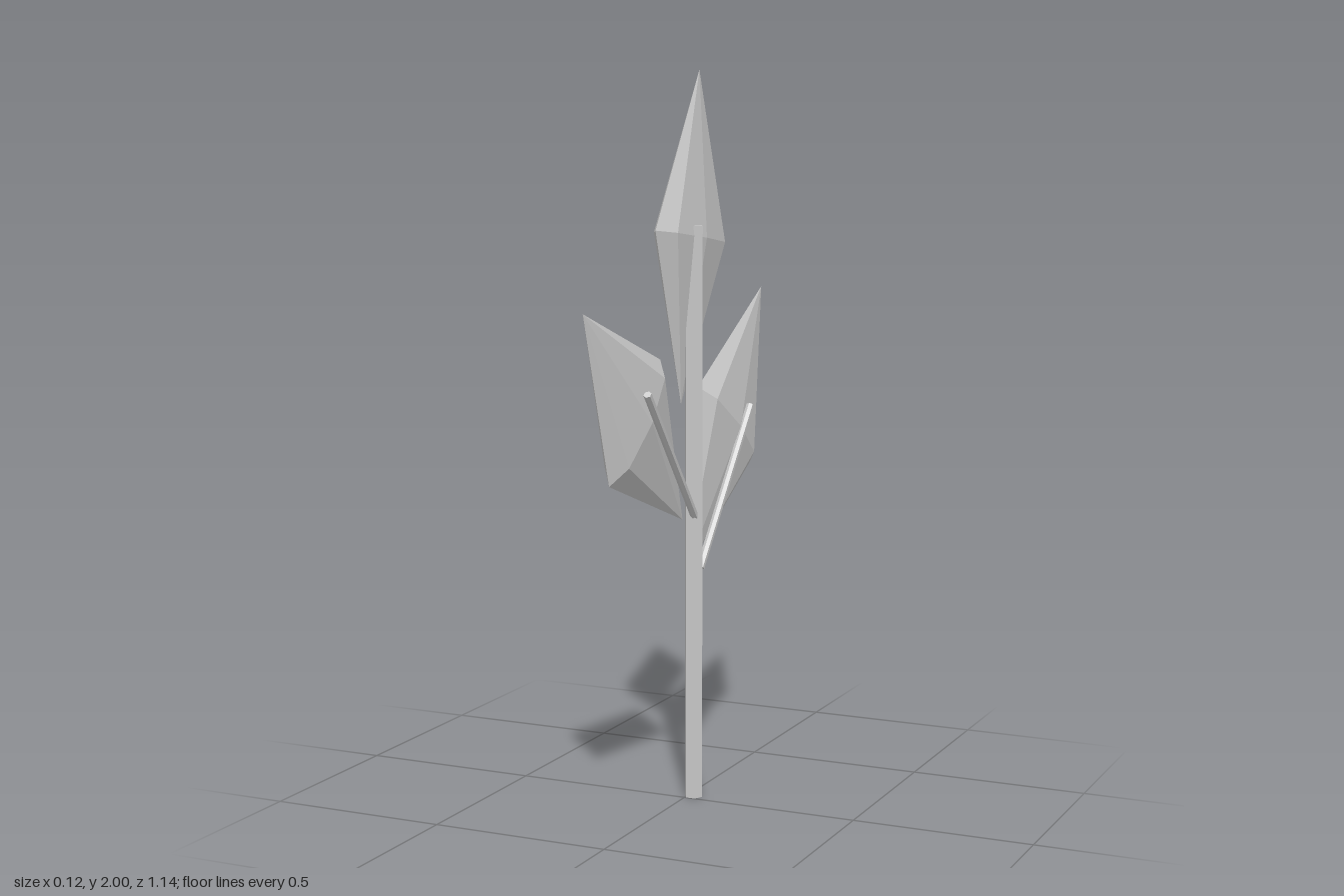
import * as THREE from 'three';

const material = new THREE.MeshStandardMaterial({ color: 0xcccccc, flatShading: true });
const UP = new THREE.Vector3(0, 1, 0);

// Straight six-sided rod between two points
function rod(name, from, to, radius) {
  const a = new THREE.Vector3(...from);
  const b = new THREE.Vector3(...to);
  const mesh = new THREE.Mesh(new THREE.CylinderGeometry(radius, radius, a.distanceTo(b), 6), material);
  mesh.name = name;
  mesh.position.copy(a).lerp(b, 0.5);
  mesh.quaternion.setFromUnitVectors(UP, b.clone().sub(a).normalize());
  return mesh;
}

// Flattened eight-sided double cone; base and tip are [y, z]
function leaf(name, base, tip, halfWidth) {
  const dy = tip[0] - base[0];
  const dz = tip[1] - base[1];
  const mesh = new THREE.Mesh(new THREE.SphereGeometry(1, 8, 2), material);
  mesh.name = name;
  mesh.scale.set(0.05, Math.hypot(dy, dz) / 2, halfWidth);
  mesh.position.set(-0.015, (base[0] + tip[0]) / 2, (base[1] + tip[1]) / 2);
  mesh.rotation.x = Math.atan2(dz, dy);
  return mesh;
}

export function createModel() {
  const plant = new THREE.Group();
  plant.name = 'plant';

  // Main stem, turned so two corners lie along x
  const stem = rod('stem', [0.017, 0, -0.024], [0.017, 1.585, -0.024], 0.026);
  stem.rotateY(Math.PI / 6);

  plant.add(
    stem,
    // Side twigs
    rod('frontTwig', [0.025, 0.79, -0.015], [0.049, 1.17, 0.335], 0.011),
    rod('backTwig', [0.028, 0.645, -0.045], [0.041, 1.06, -0.36], 0.011),
    // Leaves
    leaf('topLeaf', [1.1, -0.01], [2.0, -0.13], 0.222),
    leaf('frontLeaf', [0.78, -0.02], [1.395, 0.572], 0.214),
    leaf('backLeaf', [0.63, -0.045], [1.38, -0.57], 0.226),
  );
  return plant;
}
